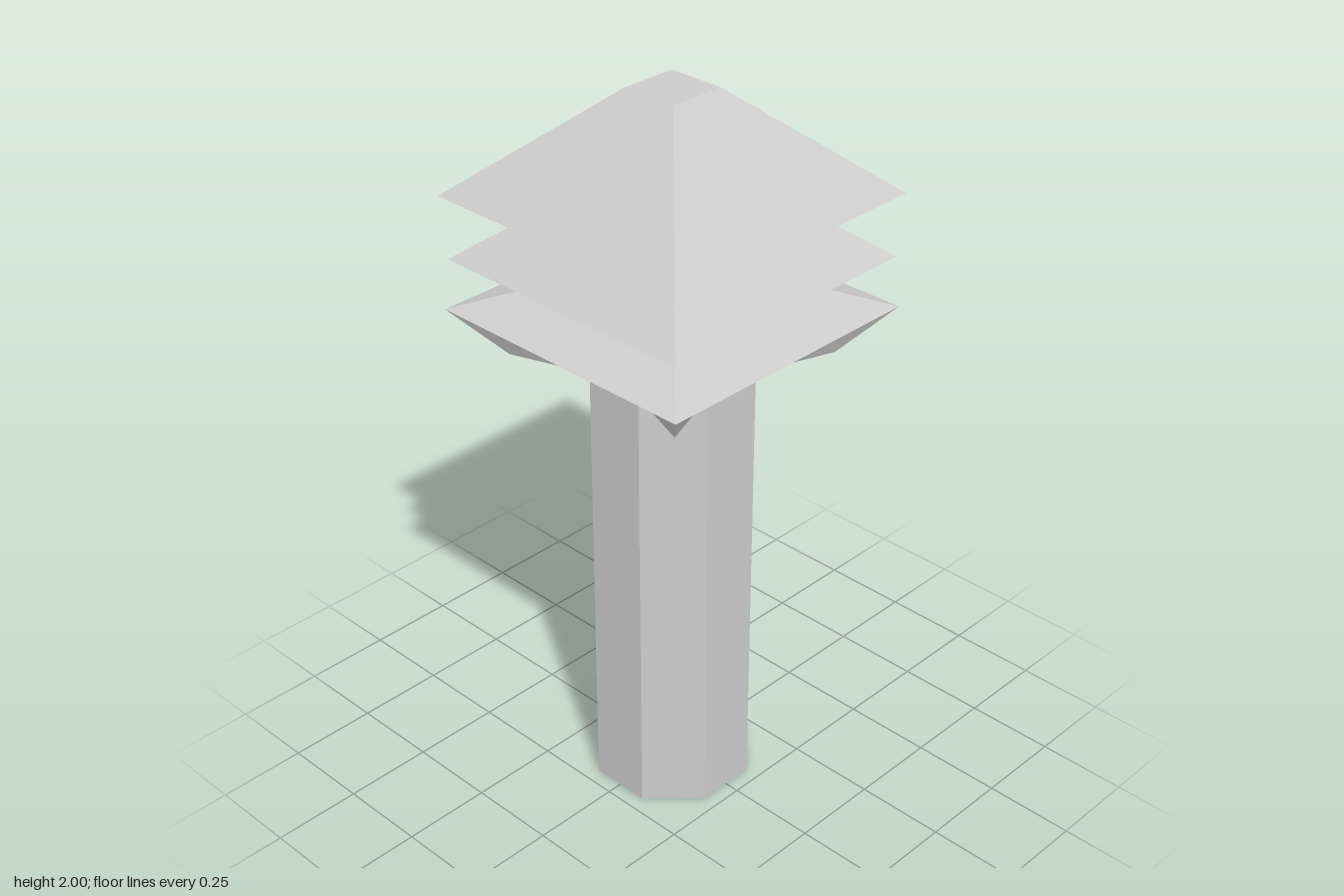
import * as THREE from 'three';

const material = new THREE.MeshStandardMaterial({ color: 0xcccccc, flatShading: true });

// Square tier: profile of [half width, height] from bottom to top
function squareTier(name, profile) {
  const points = profile.map(([half, y]) => new THREE.Vector2(half * Math.SQRT2, y));
  const geometry = new THREE.LatheGeometry(points, 4).rotateY(Math.PI / 4);
  const mesh = new THREE.Mesh(geometry, material);
  mesh.name = name;
  return mesh;
}

export function createModel() {
  const group = new THREE.Group();
  group.name = 'tieredPillar';

  // Octagonal column with flat faces to the front and sides
  const apothem = 0.207;
  const facet = apothem * Math.tan(Math.PI / 8);
  const columnTop = 1.28;
  const radius = apothem / Math.cos(Math.PI / 8);
  const column = new THREE.Mesh(
    new THREE.CylinderGeometry(radius, radius, columnTop, 8).rotateY(Math.PI / 8).translate(0, columnTop / 2, 0),
    material
  );
  column.name = 'column';
  group.add(column);

  // Flared bracket: one side and one corner tip, repeated four times
  const A = [-0.4, 1.417, 0.4], B = [0.4, 1.417, 0.4];
  const C = [0.29, 1.288, 0.29], F = [-0.29, 1.288, 0.29];
  const D = [facet, columnTop, apothem], E = [-facet, columnTop, apothem];
  const D2 = [apothem, columnTop, facet];
  const side = new THREE.BufferGeometry();
  side.setAttribute('position', new THREE.Float32BufferAttribute(
    [E, D, B, E, B, A, D, C, B, F, E, A, D, D2, C].flat(), 3));
  side.computeVertexNormals();
  const bracket = new THREE.Group();
  bracket.name = 'bracket';
  for (let i = 0; i < 4; i++) {
    const mesh = new THREE.Mesh(side, material);
    mesh.name = 'bracketSide';
    mesh.rotation.y = i * Math.PI / 2;
    bracket.add(mesh);
  }
  group.add(bracket);

  // Three stacked roofs, each narrowing to a neck under the next
  group.add(
    squareTier('lowerRoof', [[0.4, 1.417], [0.08, 1.54]]),
    squareTier('middleRoof', [[0.08, 1.54], [0.39, 1.555], [0.08, 1.8]]),
    squareTier('topRoof', [[0.08, 1.8], [0.4, 1.725], [0.08, 2], [0, 2]])
  );
  return group;
}
